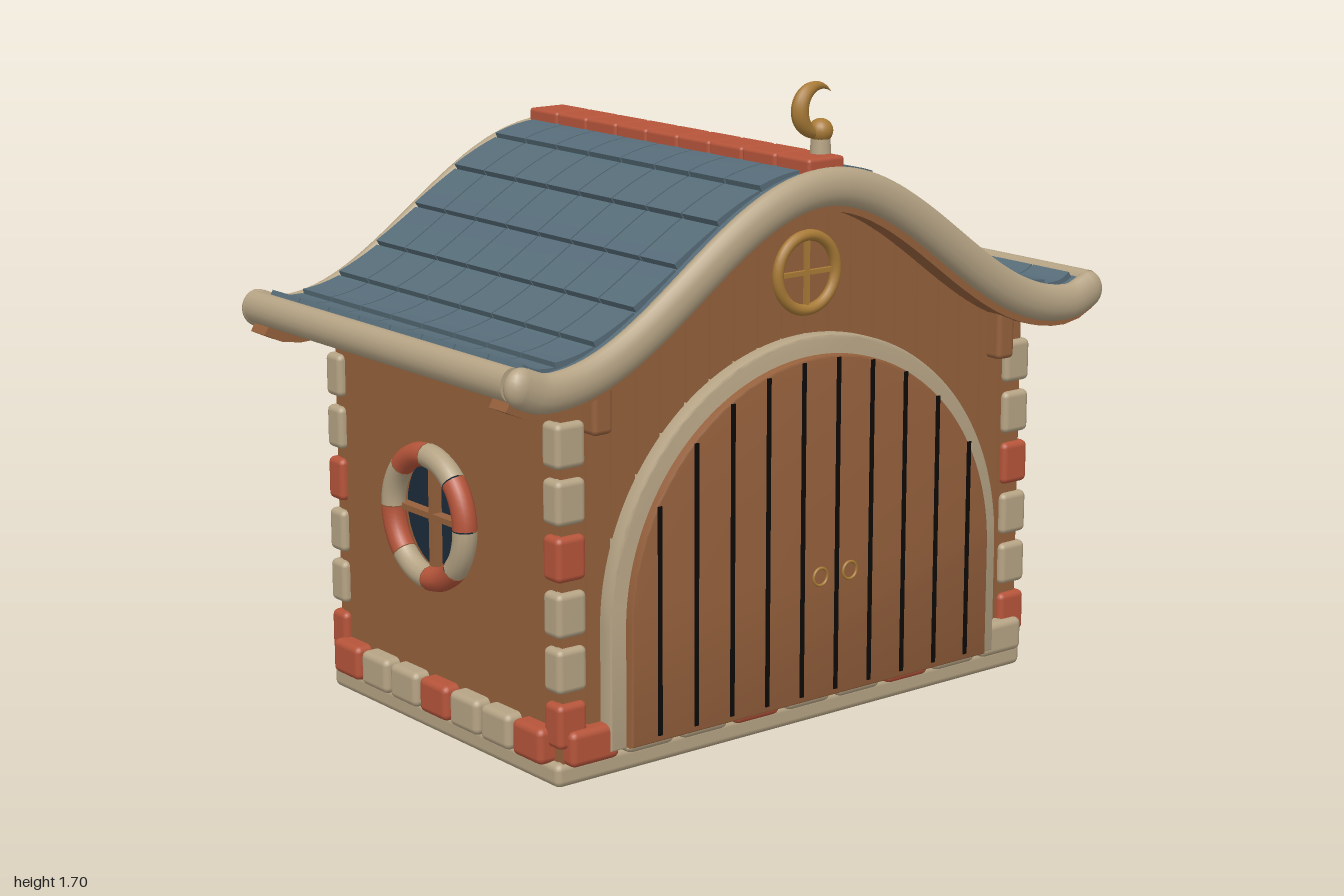
import * as THREE from 'three';
import { mergeGeometries, toCreasedNormals } from 'three/addons/utils/BufferGeometryUtils.js';
import { RoundedBoxGeometry } from 'three/addons/geometries/RoundedBoxGeometry.js';

const paint = (name, hex, side = THREE.FrontSide) => {
  const m = new THREE.MeshStandardMaterial({ color: hex, side });
  m.name = name;
  return m;
};

// Height of the bell-shaped roof line at x
const roofY = (x) => {
  const a = Math.abs(x);
  return 1.2375 + 0.2025 * Math.cos((Math.PI * a) / 0.87) + 2.5 * Math.max(0, a - 0.87) ** 2;
};
// Point moved off the roof line along its normal
const offRoof = (x, d) => {
  const s = (roofY(x + 0.001) - roofY(x - 0.001)) / 0.002, l = Math.hypot(s, 1);
  return new THREE.Vector2(x - (s * d) / l, roofY(x) + d / l);
};
// Slab that follows the roof line; top offset runs from top0 to top1
function roofStrip(x0, x1, bottom, top0, top1, z0, z1, n) {
  const low = [], high = [];
  for (let i = 0; i <= n; i++) {
    const t = i / n, x = x0 + (x1 - x0) * t;
    low.push(offRoof(x, bottom));
    high.unshift(offRoof(x, top0 + (top1 - top0) * t));
  }
  const g = new THREE.ExtrudeGeometry(new THREE.Shape([...low, ...high]), { depth: z1 - z0, bevelEnabled: false });
  return toCreasedNormals(g.translate(0, 0, z0), 0.5);
}
// Wall piece from y0 up to just under the roof line
function gable(x0, x1, y0, z0, z1, n) {
  const pts = [new THREE.Vector2(x0, y0), new THREE.Vector2(x1, y0)];
  for (let i = n; i >= 0; i--) {
    const x = x0 + ((x1 - x0) * i) / n;
    pts.push(new THREE.Vector2(x, roofY(x) - 0.01));
  }
  return new THREE.ExtrudeGeometry(new THREE.Shape(pts), { depth: z1 - z0, bevelEnabled: false }).translate(0, 0, z0);
}
// Round-headed outline
function archPath(r, base, Type = THREE.Shape) {
  const p = new Type();
  p.moveTo(-r, base);
  p.lineTo(r, base);
  p.lineTo(r, 0.39);
  p.absarc(0, 0.39, r, 0, Math.PI, false);
  p.lineTo(-r, base);
  return p;
}
const box = (x0, x1, y0, y1, z0, z1, r = 0) => {
  const s = [x1 - x0, y1 - y0, z1 - z0];
  const g = r ? new RoundedBoxGeometry(...s, 2, r) : new THREE.BoxGeometry(...s);
  return g.translate((x0 + x1) / 2, (y0 + y1) / 2, (z0 + z1) / 2);
};

export function createModel() {
  const wood = paint('wood', 0x95603c), darkWood = paint('dark wood', 0x4a2c1a);
  const stone = paint('pale stone', 0xb5a384), brick = paint('red brick', 0xb5543a);
  const slate = paint('slate', 0x566c78), gold = paint('gold', 0xa87a36);
  const black = paint('black', 0x0c0a09), glass = paint('glass', 0x1c2a38);
  const model = new THREE.Group();
  model.name = 'house';
  const add = (name, geo, mat, parent = model) => {
    const m = new THREE.Mesh(geo, mat);
    m.name = name;
    parent.add(m);
    return m;
  };

  // Base and room
  add('base', box(-0.8, 0.8, 0, 0.062, -0.52, 0.515, 0.018), stone);
  add('floor', box(-0.76, 0.76, 0.05, 0.08, -0.48, 0.48), wood);
  add('rightWall', box(-0.78, -0.73, 0.06, 1.05, -0.49, 0.49), wood);
  for (const s of [-1, 1]) {
    const end = s > 0 ? 'front' : 'back';
    add(end + 'Wall', gable(-0.77, 0.77, 0.06, s > 0 ? 0.44 : -0.49, s > 0 ? 0.49 : -0.44, 40), wood);
    const z0 = s > 0 ? 0.49 : -0.493;
    add(end + 'Grooves', gable(-0.77, 0.77, 0.06, z0, z0 + 0.003, 40), darkWood);
    const planks = [];
    for (let i = 0; i < 20; i++) {
      const x = -0.78 + i * 0.078, p0 = s > 0 ? 0.492 : -0.507;
      planks.push(gable(x + 0.0035, x + 0.0745, 0.06, p0, p0 + 0.015, 3));
    }
    add(end + 'Planks', mergeGeometries(planks), wood);
  }

  // Open stall side
  add('stallHeader', box(0.7, 0.77, 0.9, 1.03, -0.48, 0.48), wood);
  add('stallSill', box(0.7, 0.77, 0.06, 0.16, -0.48, 0.48), wood);
  for (const s of [-1, 1]) {
    add('stallJamb', box(0.7, 0.77, 0.06, 1.03, s * 0.44 - 0.05, s * 0.44 + 0.05), wood);
    add('stallPost', box(0.76, 0.83, 0.115, 1.0, s * 0.43 - 0.03, s * 0.43 + 0.03, 0.01), wood);
  }
  for (const y of [0.19, 0.31, 0.435]) add('stallRail', box(0.765, 0.805, y - 0.033, y + 0.033, -0.42, 0.42, 0.008), wood);

  // Corner stones, every third one brick
  for (const sx of [-1, 1]) for (const sz of [-1, 1]) for (let i = 0; i < 6; i++) {
    const y = 0.16 + i * 0.143, x = sx * 0.755, z = sz * 0.49;
    add('cornerStone', box(x - 0.045, x + 0.045, y - 0.058, y + 0.058, z - 0.035, z + 0.035, 0.016), i % 3 ? stone : brick);
  }
  // Footing stones
  for (const s of [-1, 1]) {
    for (let i = 0; i < 9; i++) {
      const x = 0.7 - i * 0.175, z = s * 0.505;
      add('footingStone', box(x - 0.075, x + 0.075, 0.055, 0.148, z - 0.04, z + 0.04, 0.018), i % 3 === 2 ? brick : stone);
    }
    for (let i = 0; i < 7; i++) {
      const z = 0.415 - i * 0.139, x = s * 0.785;
      add('footingStone', box(x - 0.042, x + 0.042, 0.055, 0.15, z - 0.062, z + 0.062, 0.018), i % 3 ? stone : brick);
    }
  }

  // Arched double door
  const surround = archPath(0.66, 0.075);
  surround.holes.push(archPath(0.605, 0.08, THREE.Path));
  const bevel = { depth: 0.04, bevelThickness: 0.008, bevelSize: 0.006, bevelOffset: -0.006, bevelSegments: 2, curveSegments: 40 };
  add('doorSurround', toCreasedNormals(new THREE.ExtrudeGeometry(surround, bevel).translate(0, 0, 0.5), 0.6), stone);
  const leaf = new THREE.ExtrudeGeometry(archPath(0.61, 0.08), { ...bevel, depth: 0.063 }).translate(0, 0, 0.5);
  add('door', toCreasedNormals(leaf, 0.6), wood);
  for (let i = 0; i < 10; i++) {
    const x = (i - 4.5) * 0.1167, top = 0.385 + Math.sqrt(0.61 ** 2 - x * x);
    add('doorGroove', box(x - 0.006, x + 0.006, 0.1, top, 0.575, 0.579), black);
  }
  for (const s of [-1, 1]) add('doorRing', new THREE.TorusGeometry(0.023, 0.004, 8, 24).translate(s * 0.05, 0.44, 0.637), gold);

  // Round gable ornament
  add('gableRing', new THREE.TorusGeometry(0.097, 0.015, 12, 40).translate(0, 1.21, 0.515), gold);
  add('gableBar', box(-0.09, 0.09, 1.204, 1.216, 0.508, 0.52), gold);
  add('gableBar', box(-0.006, 0.006, 1.12, 1.3, 0.508, 0.52), gold);

  // Back window
  const frame = new THREE.Shape([[-0.16, 0.56], [0.16, 0.56], [0.16, 0.89], [-0.16, 0.89]].map((p) => new THREE.Vector2(...p)));
  frame.holes.push(new THREE.Path([[-0.115, 0.58], [-0.115, 0.845], [0.115, 0.845], [0.115, 0.58]].map((p) => new THREE.Vector2(...p))));
  add('windowFrame', new THREE.ExtrudeGeometry(frame, { ...bevel, depth: 0.07 }).translate(0, 0, -0.578), stone);
  add('windowGlass', box(-0.12, 0.12, 0.575, 0.85, -0.518, -0.51), glass);
  add('windowBar', box(-0.008, 0.008, 0.57, 0.85, -0.54, -0.518), wood);
  add('windowBar', box(-0.12, 0.12, 0.705, 0.721, -0.54, -0.518), wood);
  add('windowSill', box(-0.19, 0.19, 0.527, 0.567, -0.628, -0.5, 0.01), wood);

  // Round side window with alternating surround
  const porthole = new THREE.Group();
  porthole.name = 'roundWindow';
  porthole.position.set(-0.825, 0.595, 0);
  porthole.rotation.y = -Math.PI / 2;
  model.add(porthole);
  for (let i = 0; i < 8; i++) {
    const g = new THREE.TorusGeometry(0.163, 0.032, 12, 8, Math.PI / 4 - 0.02).rotateZ((i * Math.PI) / 4 + 0.01);
    add('windowStone', g, i % 2 ? stone : brick, porthole);
  }
  add('roundGlass', new THREE.CircleGeometry(0.15, 32).translate(0, 0, -0.035), glass, porthole);
  add('roundBar', box(-0.15, 0.15, -0.008, 0.008, -0.035, -0.005), wood, porthole);
  add('roundBar', box(-0.008, 0.008, -0.15, 0.15, -0.035, -0.005), wood, porthole);

  // Roof deck and slates, with one slate missing
  add('roofDeck', roofStrip(-0.95, 0.95, 0, 0.04, 0.04, -0.595, 0.575, 60), slate);
  const slates = [], rows = 7, w = 0.905 / rows;
  for (let r = 0; r < rows; r++) for (let c = 0; c < 8; c++) {
    const x0 = 0.042 + r * w, x1 = x0 + w - 0.005, z0 = -0.59 + c * 0.1432, z1 = z0 + 0.138;
    if (r < rows - 1 || c > 0) slates.push(roofStrip(x0, x1, 0.02, 0.047, 0.058, z0, z1, 4));
    slates.push(roofStrip(-x1, -x0, 0.02, 0.058, 0.047, z0, z1, 4));
  }
  add('slates', mergeGeometries(slates), slate);
  for (let i = 0; i < 9; i++) {
    const z = -0.61 + i * 0.1333;
    add('ridgeTile', box(-0.06, 0.06, 1.465, 1.515, z + 0.001, z + 0.132, 0.01), brick);
  }

  // Verge rolls at the gables, with timber boards beneath
  for (const z of [0.588, -0.608]) {
    const pts = [];
    for (let i = 0; i <= 32; i++) {
      const x = -0.95 + (1.9 * i) / 32;
      pts.push(new THREE.Vector3(x, roofY(x), 0));
    }
    const roll = new THREE.TubeGeometry(new THREE.CatmullRomCurve3(pts), 80, 0.05, 16).scale(1, 1, 0.66);
    add('vergeRoll', roll.translate(0, 0, z), stone);
    for (const s of [-1, 1]) {
      add('vergeEnd', new THREE.SphereGeometry(0.05, 16, 12).scale(0.9, 1, 0.66).translate(s * 0.95, roofY(0.95), z), stone);
    }
    const z0 = z > 0 ? 0.505 : -0.59;
    add('vergeBoard', roofStrip(-0.95, 0.95, -0.066, -0.03, -0.03, z0, z0 + 0.07, 50), wood);
  }
  for (const s of [-1, 1]) {
    const eave = new THREE.CylinderGeometry(0.043, 0.043, 1.17, 18).rotateX(Math.PI / 2).scale(0.81, 1, 1);
    add('eaveRoll', eave.translate(s * 0.965, 1.066, -0.01), stone);
    for (const z of [-1, 1]) add('beamEnd', box(s * 0.68 - 0.03, s * 0.68 + 0.03, 0.895, 1.05, z * 0.51 - 0.045, z * 0.51 + 0.045, 0.014), wood);
  }

  // Finial: post, ball and tapered crescent
  const finial = new THREE.Group();
  finial.name = 'finial';
  finial.position.set(0.037, 0, 0.52);
  model.add(finial);
  add('finialPost', new THREE.CylinderGeometry(0.024, 0.028, 0.07, 16).translate(0, 1.535, 0), stone, finial);
  add('finialBall', new THREE.SphereGeometry(0.032, 20, 14).translate(0, 1.572, 0), gold, finial);
  const R = 0.06, arc = 4.7, start = 0.8, moon = new THREE.TorusGeometry(R, 0.023, 12, 40, arc), p = moon.attributes.position;
  for (let i = 0; i < p.count; i++) {
    const a = (Math.atan2(p.getY(i), p.getX(i)) + 2 * Math.PI + 1e-6) % (2 * Math.PI);
    const k = Math.max(0.04, Math.sin((Math.PI * a) / arc)), r = R + (Math.hypot(p.getX(i), p.getY(i)) - R) * k;
    p.setXYZ(i, r * Math.cos(a), r * Math.sin(a), p.getZ(i) * k);
  }
  moon.computeVertexNormals();
  add('crescent', moon.rotateZ(start).translate(-0.01, 1.627, 0), gold, finial);
  return model;
}
